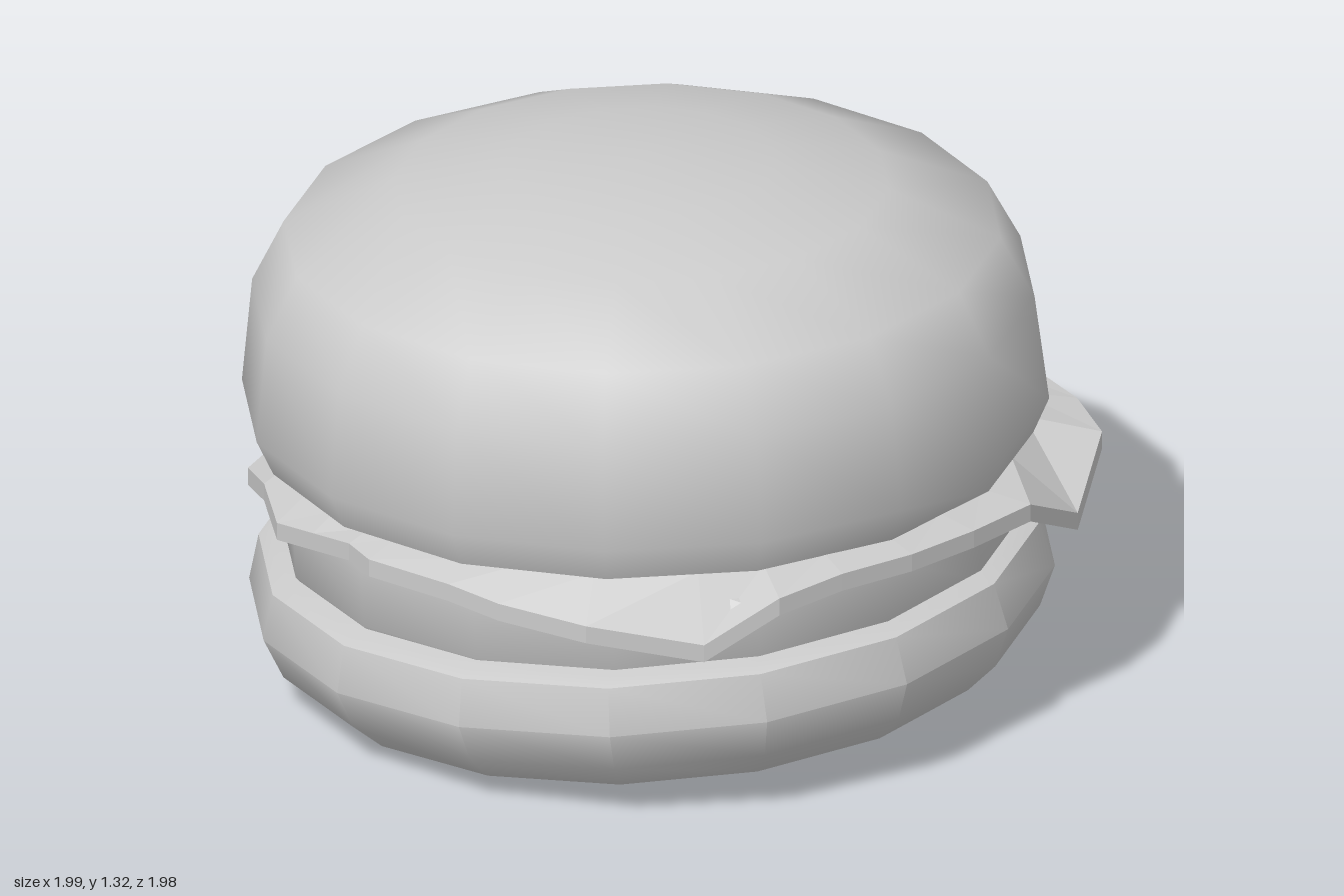
import * as THREE from 'three';
import { toCreasedNormals } from 'three/addons/utils/BufferGeometryUtils.js';

const grey = new THREE.MeshStandardMaterial({ color: 0xcccccc });
const sheetGrey = new THREE.MeshStandardMaterial({
  color: 0xcccccc, flatShading: true, side: THREE.DoubleSide,
});

// Sixteen-sided turned part, tilted about its own centre
function turned(name, profile, position, tiltX, tiltZ) {
  const points = profile.map(([r, y]) => new THREE.Vector2(r, y));
  const geometry = toCreasedNormals(new THREE.LatheGeometry(points, 16), 0.74);
  const mesh = new THREE.Mesh(geometry, grey);
  mesh.name = name;
  mesh.position.set(...position);
  mesh.rotation.set(tiltX, 0, tiltZ);
  return mesh;
}

// Rim of the cheese, running from the front towards +x: x, z, height of lower edge
const RIM = [
  [0.12, 0.98, 0.55], [0.35, 0.92, 0.55], [0.48, 0.87, 0.53], [0.68, 0.76, 0.51],
  [0.86, 0.54, 0.46], [0.95, 0.38, 0.57], [0.97, 0.2, 0.59], [0.99, 0, 0.59],
  [0.98, -0.2, 0.59], [0.95, -0.4, 0.59], [0.86, -0.62, 0.47], [0.67, -0.85, 0.55],
  [0.5, -0.91, 0.56], [0.34, -0.92, 0.57], [0.15, -0.98, 0.57], [-0.05, -0.99, 0.57],
  [-0.3, -0.93, 0.55], [-0.46, -0.91, 0.54], [-0.62, -0.85, 0.52], [-0.8, -0.63, 0.42],
  [-0.89, -0.38, 0.51], [-0.92, -0.15, 0.53], [-0.94, 0.1, 0.51], [-0.92, 0.3, 0.5],
  [-0.8, 0.54, 0.38], [-0.6, 0.77, 0.47], [-0.44, 0.85, 0.51], [-0.28, 0.94, 0.49],
  [-0.13, 0.95, 0.52], [0.02, 0.96, 0.55],
];

// Closed sheet: flat middle resting on the patty, with a drooping wavy rim
function cheese() {
  const thickness = 0.045;
  const inner = 0.895;
  const n = RIM.length;
  const level = (x) => 0.57 + 0.04 * x;
  const positions = [];
  const index = [];
  for (const [x, z, y] of RIM) {
    const k = inner / Math.hypot(x, z);
    const ix = x * k, iz = z * k, iy = level(ix);
    positions.push(ix, iy, iz, x, y, z, x, y + thickness, z, ix, iy + thickness, iz);
  }
  positions.push(0, level(0), 0, 0, level(0) + thickness, 0);
  for (let i = 0; i < n; i++) {
    const a = i * 4;
    const b = ((i + 1) % n) * 4;
    for (let j = 0; j < 3; j++) {
      index.push(a + j, b + j, b + j + 1, a + j, b + j + 1, a + j + 1);
    }
    index.push(n * 4, b, a, n * 4 + 1, a + 3, b + 3);
  }
  const geometry = new THREE.BufferGeometry();
  geometry.setAttribute('position', new THREE.Float32BufferAttribute(positions, 3));
  geometry.setIndex(index);
  geometry.computeVertexNormals();
  const mesh = new THREE.Mesh(geometry, sheetGrey);
  mesh.name = 'cheeseSlice';
  return mesh;
}

export function createModel() {
  const group = new THREE.Group();
  group.name = 'burger';

  // Flat-based lower bun, tipped up towards +x and the back
  group.add(turned('bottomBun', [
    [0, -0.18], [0.855, -0.18], [0.935, -0.105], [0.978, 0],
    [0.948, 0.115], [0.91, 0.13], [0, 0.13],
  ], [0.015, 0.24, 0.015], 0.036, 0.056));

  // Patty
  group.add(turned('patty', [
    [0, -0.12], [0.87, -0.12], [0.9, -0.08], [0.9, 0.09], [0.87, 0.12], [0, 0.12],
  ], [-0.01, 0.44, -0.005], 0.015, 0.05));

  group.add(cheese());

  // Domed upper bun
  group.add(turned('topBun', [
    [0, -0.115], [0.87, -0.115], [0.938, -0.09], [0.978, 0], [0.948, 0.265],
    [0.868, 0.42], [0.6, 0.54], [0.33, 0.597], [0, 0.618],
  ], [-0.022, 0.71, 0.005], 0, 0.031));

  return group;
}
